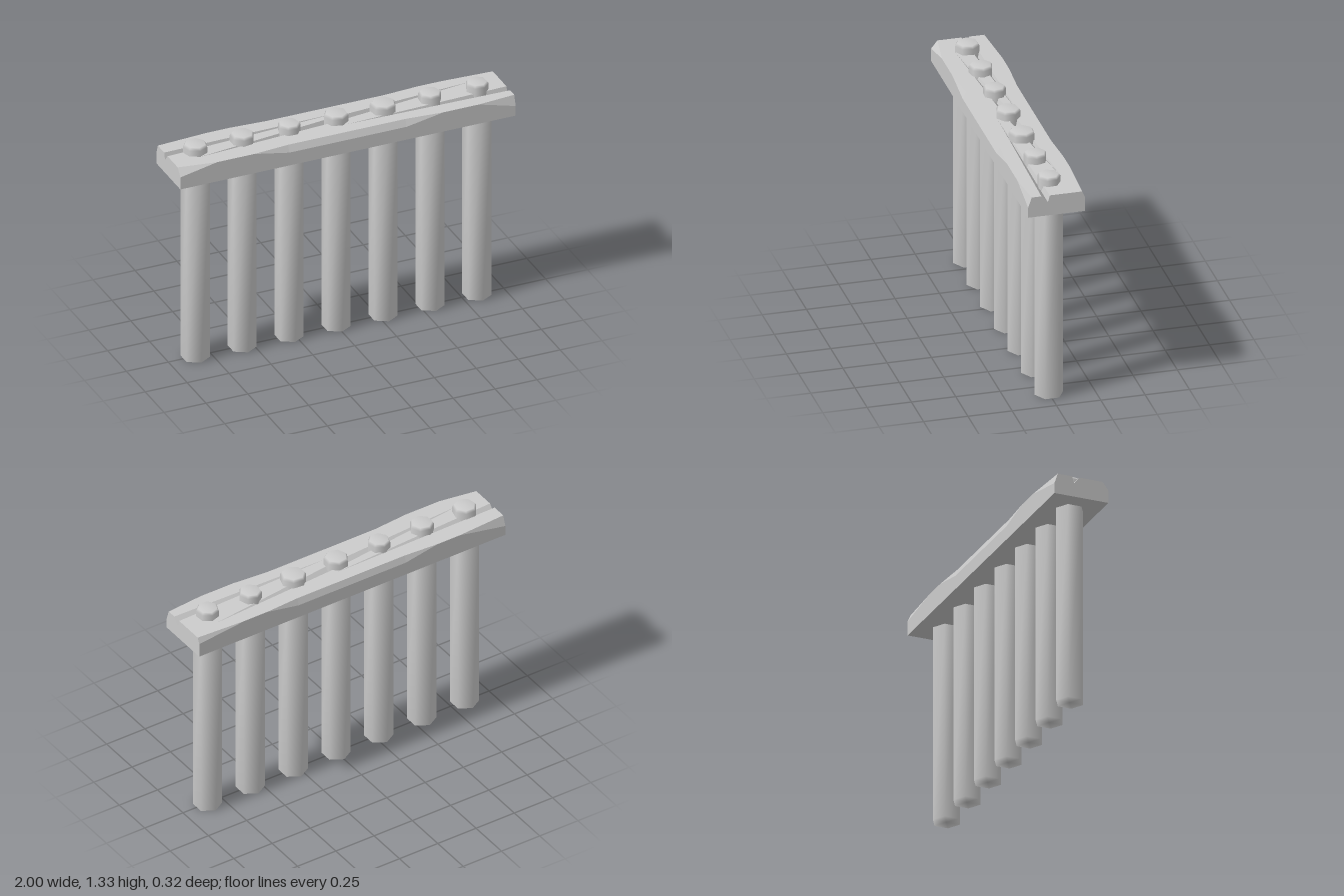
import * as THREE from 'three';
import { mergeVertices } from 'three/addons/utils/BufferGeometryUtils.js';

const BOTTOM = 1.16, TOP = 1.28, HALF = 0.16;

// Piecewise-linear lookup: keys are [x, value, value, ...]
function sample(keys, x) {
  let i = 0;
  while (i < keys.length - 2 && x > keys[i + 1][0]) i++;
  const a = keys[i], b = keys[i + 1];
  const t = THREE.MathUtils.clamp((x - a[0]) / (b[0] - a[0]), 0, 1);
  return a.slice(1).map((v, k) => v + (b[k + 1] - v) * t);
}

// Grooves: x, back lip z, front lip z, depth
const grooves = [
  [[-1, -0.055, -0.01, 0.04], [0.04, -0.07, -0.07, 0], [1, -0.12, -0.12, 0]],
  [[-0.85, 0.07, 0.07, 0], [0, -0.035, 0.015, 0.04], [0.84, -0.09, -0.09, 0]],
  [[-1, 0.1, 0.1, 0], [0.03, 0.065, 0.065, 0], [1, 0.037, 0.085, 0.04]],
];
// Worn top edges: x, inset, drop
const frontWear = [[-1, 0.035, 0.045], [-0.78, 0, 0], [-0.56, 0, 0], [-0.35, 0.018, 0.04],
  [0.35, 0.018, 0.04], [0.57, 0, 0], [0.78, 0, 0], [1, 0.02, 0.06]];
const backWear = [[-1, 0.02, 0.06], [-0.7, 0, 0], [-0.56, 0, 0], [-0.35, 0.013, 0.04],
  [0.35, 0.013, 0.04], [0.56, 0, 0], [0.7, 0, 0], [1, 0.015, 0.035]];

// Plank outline in (z, y) at a given x, from back bottom over the top to front bottom
function section(x) {
  const [bi, bd] = sample(backWear, x), [fi, fd] = sample(frontWear, x);
  const pts = [[-HALF, BOTTOM], [-HALF, TOP - bd], [-HALF + bi, TOP]];
  for (const g of grooves) {
    const [a, c, d] = sample(g, x);
    pts.push([a, TOP], [a + (c - a) * 0.25, TOP - d], [c, TOP]);
  }
  pts.push([HALF - fi, TOP], [HALF, TOP - fd], [HALF, BOTTOM]);
  return pts;
}

function plankGeometry() {
  const xs = [...new Set([...grooves, frontWear, backWear].flat().map(k => k[0]))].sort((a, b) => a - b);
  const pos = [];
  const tri = (...pts) => {
    const [a, b, c] = pts.map(p => new THREE.Vector3(...p));
    if (b.clone().sub(a).cross(c.clone().sub(a)).length() > 1e-9) pos.push(...pts.flat());
  };
  const at = (x, [z, y]) => [x, y, z];
  // skin between neighbouring sections
  for (let i = 0; i < xs.length - 1; i++) {
    const s = section(xs[i]), e = section(xs[i + 1]);
    for (let k = 0; k < s.length; k++) {
      const n = (k + 1) % s.length;
      const a = at(xs[i], s[k]), b = at(xs[i], s[n]), c = at(xs[i + 1], e[k]), d = at(xs[i + 1], e[n]);
      tri(a, b, c);
      tri(b, d, c);
    }
  }
  // end faces
  for (const x of [-1, 1]) {
    const s = section(x);
    const contour = s.map(p => new THREE.Vector2(...p));
    for (const [a, b, c] of THREE.ShapeUtils.triangulateShape(contour, [])) {
      const ccw = THREE.ShapeUtils.area([contour[a], contour[b], contour[c]]) > 0;
      const order = ccw === (x < 0) ? [a, b, c] : [a, c, b];
      tri(...order.map(k => at(x, s[k])));
    }
  }
  const geo = new THREE.BufferGeometry();
  geo.setAttribute('position', new THREE.Float32BufferAttribute(pos, 3));
  geo.computeVertexNormals();
  return geo;
}

// Six-sided post, shaded smoothly across its caps
function postGeometry() {
  let geo = new THREE.CylinderGeometry(0.08, 0.08, 1.155, 6);
  geo.deleteAttribute('normal');
  geo.deleteAttribute('uv');
  geo = mergeVertices(geo);
  geo.computeVertexNormals();
  return geo.translate(0, 1.155 / 2, 0);
}

export function createModel() {
  const model = new THREE.Group();
  model.name = 'fenceSection';
  const grey = new THREE.MeshStandardMaterial({ color: 0xcccccc });
  grey.name = 'light grey';
  const add = (name, geo) => {
    const mesh = new THREE.Mesh(geo, grey);
    mesh.name = name;
    model.add(mesh);
    return mesh;
  };

  add('plank', plankGeometry());

  const post = postGeometry();
  const peg = new THREE.LatheGeometry([[0.068, 1.2], [0.068, 1.315], [0.058, 1.33], [0, 1.33]]
    .map(p => new THREE.Vector2(...p)), 7);
  const pegWidths = [1, 1, 0.93, 1.02, 1.08, 0.95, 0.94];
  for (let i = 0; i < 7; i++) {
    const x = (i - 3) * 0.28;
    add('post', post).position.x = x;
    // peg heads, each turned a little differently
    const head = add('pegHead', peg);
    head.position.x = x;
    head.rotation.y = i * 0.65;
    head.scale.set(pegWidths[i], 1, pegWidths[i]);
  }
  return model;
}
